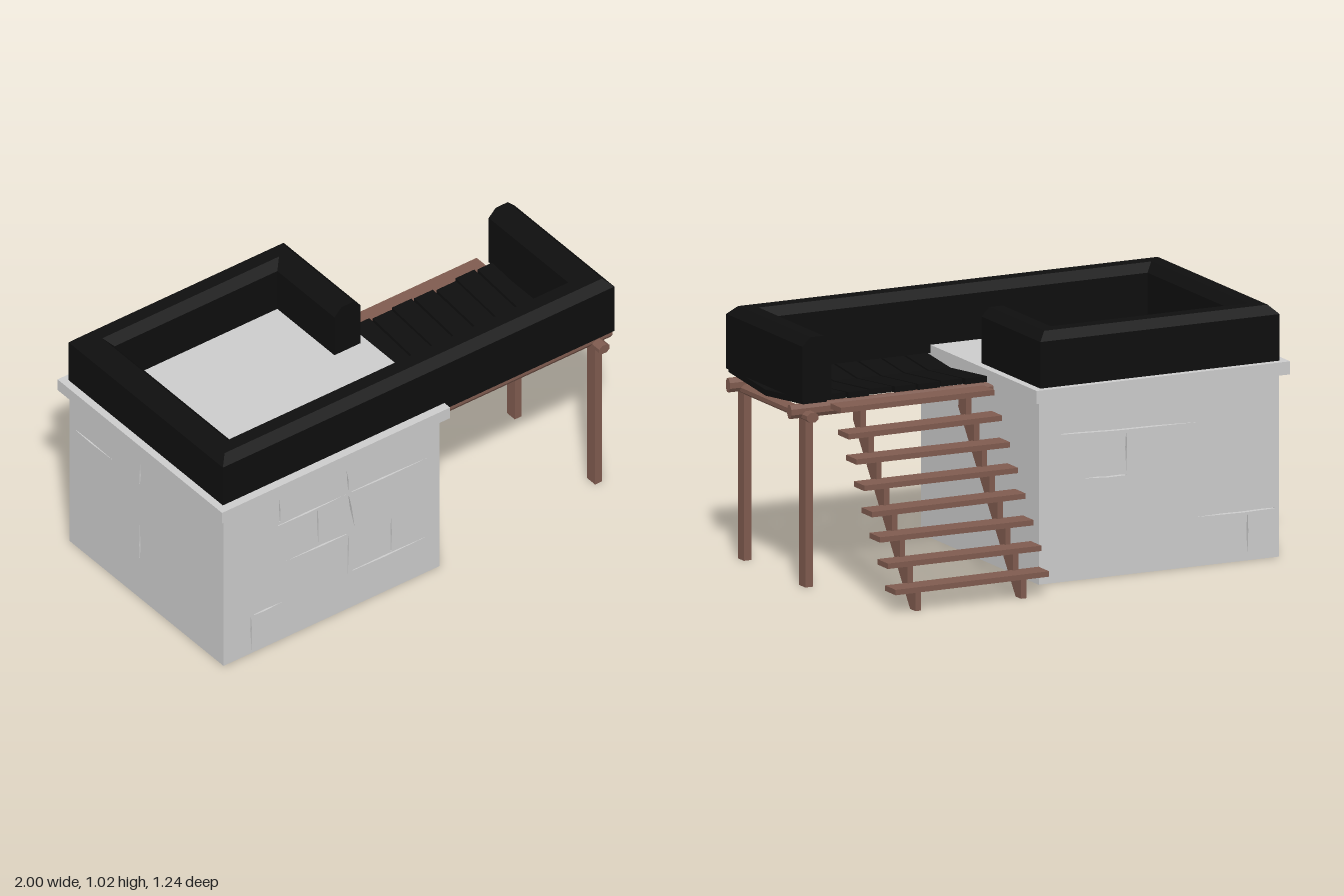
import * as THREE from 'three';

const stone = new THREE.MeshStandardMaterial({ color: 0xcccccc, flatShading: true });
const wood = new THREE.MeshStandardMaterial({ color: 0x7f5b4f, flatShading: true });
const black = new THREE.MeshStandardMaterial({ color: 0x0e0e0e, flatShading: true, side: THREE.DoubleSide });

function add(parent, name, geometry, material) {
  const mesh = new THREE.Mesh(geometry, material);
  mesh.name = name;
  parent.add(mesh);
  return mesh;
}

// Box given by its minimum and maximum corners
function block(parent, name, material, [x0, y0, z0], [x1, y1, z1]) {
  const g = new THREE.BoxGeometry(x1 - x0, y1 - y0, z1 - z0);
  g.translate((x0 + x1) / 2, (y0 + y1) / 2, (z0 + z1) / 2);
  return add(parent, name, g, material);
}

// Wall panel from u0 to u1 with tapered mortar cracks [uA, yA, uB, yB], backed by a thin sheet
function wall(parent, name, u0, u1, cracks, rotation, x, z) {
  const h = 0.75;
  const shape = new THREE.Shape([[u0, 0], [u1, 0], [u1, h], [u0, h]].map((p) => new THREE.Vector2(...p)));
  for (const [ua, ya, ub, yb] of cracks) {
    const a = new THREE.Vector2(ua, ya), b = new THREE.Vector2(ub, yb);
    const d = b.clone().sub(a).normalize().multiplyScalar(0.005);
    const n = new THREE.Vector2(-d.y, d.x);
    const m = a.clone().lerp(b, 0.4);
    shape.holes.push(new THREE.Path([
      a.clone().addScaledVector(n, 0.3), a.clone().addScaledVector(n, -0.3),
      m.clone().addScaledVector(n, -1), b, m.clone().addScaledVector(n, 0.8),
    ]));
  }
  const panel = new THREE.Group();
  panel.name = name;
  add(panel, name + 'Face', new THREE.ExtrudeGeometry(shape, { depth: 0.02, bevelEnabled: false }), stone);
  block(panel, name + 'Backing', stone, [u0 + 0.002, 0, -0.01], [u1 - 0.002, h, 0]);
  panel.rotation.y = rotation;
  panel.position.set(x, 0, z);
  parent.add(panel);
}

// Chamfered parapet swept along a plan path with mitred corners
function parapetGeometry(path, half, y0, y1, chamfer) {
  const section = [[-half, y0], [-half, y1 - chamfer], [-half + chamfer, y1],
    [half - chamfer, y1], [half, y1 - chamfer], [half, y0]];
  const pts = path.map((p) => new THREE.Vector2(...p));
  const pos = [], index = [], k = section.length;
  pts.forEach((p, i) => {
    const normal = (a, b) => { const d = b.clone().sub(a).normalize(); return new THREE.Vector2(-d.y, d.x); };
    const n0 = normal(pts[Math.max(i - 1, 0)], pts[Math.max(i, 1)]);
    const n1 = i < pts.length - 1 ? normal(p, pts[i + 1]) : n0;
    const m = n0.clone().add(n1);
    m.multiplyScalar(2 / m.lengthSq());
    for (const [o, y] of section) pos.push(p.x + m.x * o, y, p.y + m.y * o);
  });
  for (let i = 0; i < pts.length - 1; i++) {
    for (let j = 0; j < k; j++) {
      const a = i * k + j, b = i * k + (j + 1) % k;
      index.push(a, a + k, b, b, a + k, b + k);
    }
  }
  const last = (pts.length - 1) * k;
  for (let j = 1; j < k - 1; j++) index.push(0, j, j + 1, last, last + j + 1, last + j);
  const g = new THREE.BufferGeometry();
  g.setAttribute('position', new THREE.Float32BufferAttribute(pos, 3));
  g.setIndex(index);
  const flat = g.toNonIndexed();
  flat.computeVertexNormals();
  return flat;
}

// Eight-sided log lying along x
function log(length, ry, rz) {
  const g = new THREE.CylinderGeometry(1, 1, length, 8);
  g.rotateY(Math.PI / 8);
  g.rotateZ(Math.PI / 2);
  return g.scale(1, ry * 1.08, rz * 1.08);
}

export function createModel() {
  const model = new THREE.Group();
  model.name = 'stoneHouseWithDeck';

  // House walls, open underneath
  const house = new THREE.Group();
  house.name = 'house';
  model.add(house);
  wall(house, 'frontWall', -0.97, 0.1, [
    [-0.7, 0.575, -0.36, 0.575], [-0.335, 0.575, 0.05, 0.57], [-0.69, 0.59, -0.695, 0.71],
    [-0.505, 0.56, -0.5, 0.39], [-0.36, 0.375, -0.66, 0.38], [-0.35, 0.59, -0.36, 0.69],
    [-0.35, 0.56, -0.32, 0.39], [-0.35, 0.36, -0.355, 0.17], [-0.33, 0.18, 0.05, 0.178],
    [-0.14, 0.19, -0.14, 0.37], [-0.82, 0.185, -0.68, 0.185], [-0.835, 0.18, -0.83, 0.01],
  ], 0, 0, 0.57);
  wall(house, 'backWall', -0.1, 0.97, [
    [0, 0.6, 0.62, 0.585], [0.29, 0.575, 0.29, 0.42], [0.29, 0.405, 0.1, 0.41],
    [0.95, 0.2, 0.6, 0.2], [0.83, 0.185, 0.83, 0.02],
  ], Math.PI, 0, -0.4);
  wall(house, 'rightWall', -0.4, 0.57, [
    [-0.38, 0.58, -0.13, 0.58], [0.04, 0.57, 0.045, 0.69], [0.04, 0.2, 0.04, 0.37],
  ], -Math.PI / 2, -0.95, 0);
  wall(house, 'leftWall', -0.57, 0.4, [], Math.PI / 2, 0.08, 0);
  block(house, 'roofSlab', stone, [-1, 0.745, -0.46], [0.13, 0.798, 0.62]);

  // Parapet around the roof and the outer sides of the deck
  add(model, 'parapet', parapetGeometry([[0.033, 0.075], [0.033, -0.365], [-0.903, -0.365],
    [-0.903, 0.518], [0.907, 0.518], [0.907, -0.07]], 0.065, 0.765, 1.022, 0.035), black);

  // Deck planks sagging at the middle
  const deck = new THREE.Group();
  deck.name = 'deck';
  model.add(deck);
  const ends = [-0.055, -0.045, -0.055, -0.05, -0.04, -0.055, -0.048, -0.07];
  ends.forEach((end, i) => {
    const length = 0.57 - end, w = i === 7 ? 0.11 : 0.096;
    const g = new THREE.BoxGeometry(w, 0.024, length, 1, 1, 2);
    const p = g.attributes.position;
    for (let j = 0; j < p.count; j++) {
      if (Math.abs(p.getZ(j)) < 0.01) p.setY(j, p.getY(j) - 0.03);
      else p.setX(j, p.getX(j) * (i % 2 ? 0.96 : 1));
    }
    g.computeVertexNormals();
    add(deck, 'deckPlank', g, black).position.set(i === 7 ? 0.915 : 0.19 + i * 0.1045, 0.765, end + length / 2);
  });

  // Beams and posts under the deck
  for (const z of [0.515, -0.012]) {
    add(deck, 'deckBeam', log(0.9, 0.028, 0.018), wood).position.set(0.55, 0.714, z);
    block(deck, 'post', wood, [0.908, 0, z - 0.026], [0.942, 0.69, z + 0.026]);
  }
  const cross = add(deck, 'crossBeam', log(0.65, 0.02, 0.026), wood);
  cross.rotation.y = Math.PI / 2;
  cross.position.set(0.925, 0.694, 0.255);

  // Stairs at the back of the deck
  const stairs = new THREE.Group();
  stairs.name = 'stairs';
  model.add(stairs);
  const steps = 8, run = 0.0672, rise = 0.0916;
  const profile = [[0.56, 0], [0.606, 0]];
  for (let i = 0; i < steps; i++) {
    const u = 0.606 - i * run, y = 0.08 + i * rise;
    profile.push([u, y], [u - run, y]);
    const tread = block(stairs, 'tread', wood, [-0.342, 0, -0.045], [0.342, 0.022, 0.045]);
    tread.position.set(0.498, y - 0.002, -(0.572 - i * run));
    tread.rotation.z = (i % 3 - 1) * 0.004;
  }
  profile.push([0.068, 0.67]);
  const shape = new THREE.Shape(profile.map((p) => new THREE.Vector2(...p)));
  for (const x of [0.252, 0.722]) {
    const g = new THREE.ExtrudeGeometry(shape, { depth: 0.024, bevelEnabled: false });
    g.rotateY(Math.PI / 2);
    add(stairs, 'stringer', g, wood).position.x = x;
  }
  return model;
}
